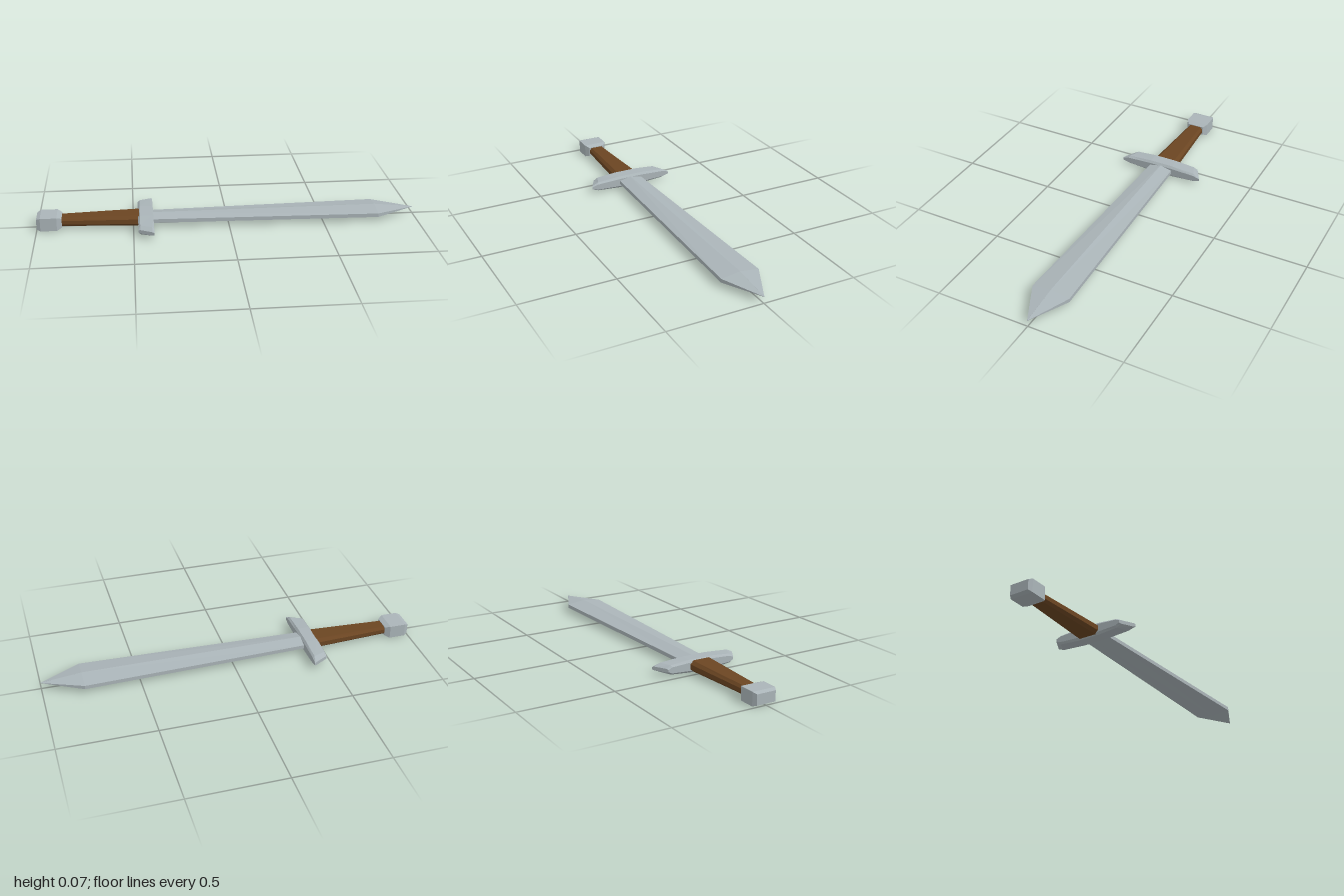
import * as THREE from 'three';

const MID = 0.037; // height of the sword's centre plane

const metal = new THREE.MeshStandardMaterial({ color: 0xaab4b8, flatShading: true });
const leather = new THREE.MeshStandardMaterial({ color: 0x6b4522, flatShading: true });

// Skin a list of equal-length rings, counterclockwise about the travel direction, and cap both ends
function loft(name, rings, material) {
  const n = rings[0].length;
  const pos = rings.flat(2);
  const index = [];
  for (let i = 0; i < rings.length - 1; i++) {
    for (let k = 0; k < n; k++) {
      const a = i * n + k, b = i * n + (k + 1) % n;
      index.push(a, b, b + n, a, b + n, a + n);
    }
  }
  const last = (rings.length - 1) * n;
  for (let k = 1; k < n - 1; k++) {
    index.push(0, k + 1, k, last, last + k, last + k + 1);
  }
  const indexed = new THREE.BufferGeometry();
  indexed.setAttribute('position', new THREE.Float32BufferAttribute(pos, 3));
  indexed.setIndex(index);
  const geometry = indexed.toNonIndexed();
  geometry.computeVertexNormals();
  const mesh = new THREE.Mesh(geometry, material);
  mesh.name = name;
  return mesh;
}

// Rectangle with cut corners: half sizes a, b and cuts ca, cb
const octagon = (a, b, ca, cb) => [
  [a, -b + cb], [a, b - cb], [a - ca, b], [-a + ca, b],
  [-a, b - cb], [-a, -b + cb], [-a + ca, -b], [a - ca, -b],
];

// Ring across the length of the sword, from [y, z] pairs
const acrossX = (x, section) => section.map(([y, z]) => [x, y, z]);

export function createModel() {
  const sword = new THREE.Group();
  sword.name = 'sword';

  // Blade: flat-edged hexagon widening towards a pointed tip
  const bladeRings = [[-0.43, 0.064, 0.01, 0.024], [0.79, 0.102, 0.01, 0.024], [1, 0.001, 0.0005, 0.001]]
    .map(([x, w, edge, ridge]) => acrossX(x, [
      [ridge, 0], [edge, w], [-edge, w], [-ridge, 0], [-edge, -w], [edge, -w],
    ]));
  sword.add(loft('blade', bladeRings, metal));

  // Guard: tapering bar whose ends slant towards the tip
  const guardRings = [
    [-0.235, 0.0095, 0.56], [-0.2, 0.024, 0.4], [-0.065, 0.033, 0],
    [0.065, 0.033, 0], [0.2, 0.024, 0.4], [0.235, 0.0095, 0.56],
  ].map(([z, h, slant]) => octagon(0.04, h, 0.01, h * 0.35)
    .map(([x, y]) => [x - 0.435, y, z - Math.sign(z) * slant * (0.04 - x)]));
  sword.add(loft('guard', guardRings, metal));

  // Grip: eight-sided handle, slimmer at the pommel
  const gripRings = [[-0.88, 0.022, 0.042], [-0.46, 0.028, 0.066]]
    .map(([x, h, w]) => acrossX(x, octagon(h, w, h * 0.55, w * 0.28)));
  sword.add(loft('grip', gripRings, leather));

  // Pommel: block with bevelled ends
  const pommelRings = [[-1, 0.027, 0.052], [-0.98, 0.035, 0.063], [-0.895, 0.035, 0.063], [-0.87, 0.025, 0.046]]
    .map(([x, h, w]) => acrossX(x, [[h, -w], [h, w], [-h, w], [-h, -w]]));
  sword.add(loft('pommel', pommelRings, metal));

  sword.position.y = MID;
  const root = new THREE.Group();
  root.add(sword);
  return root;
}
